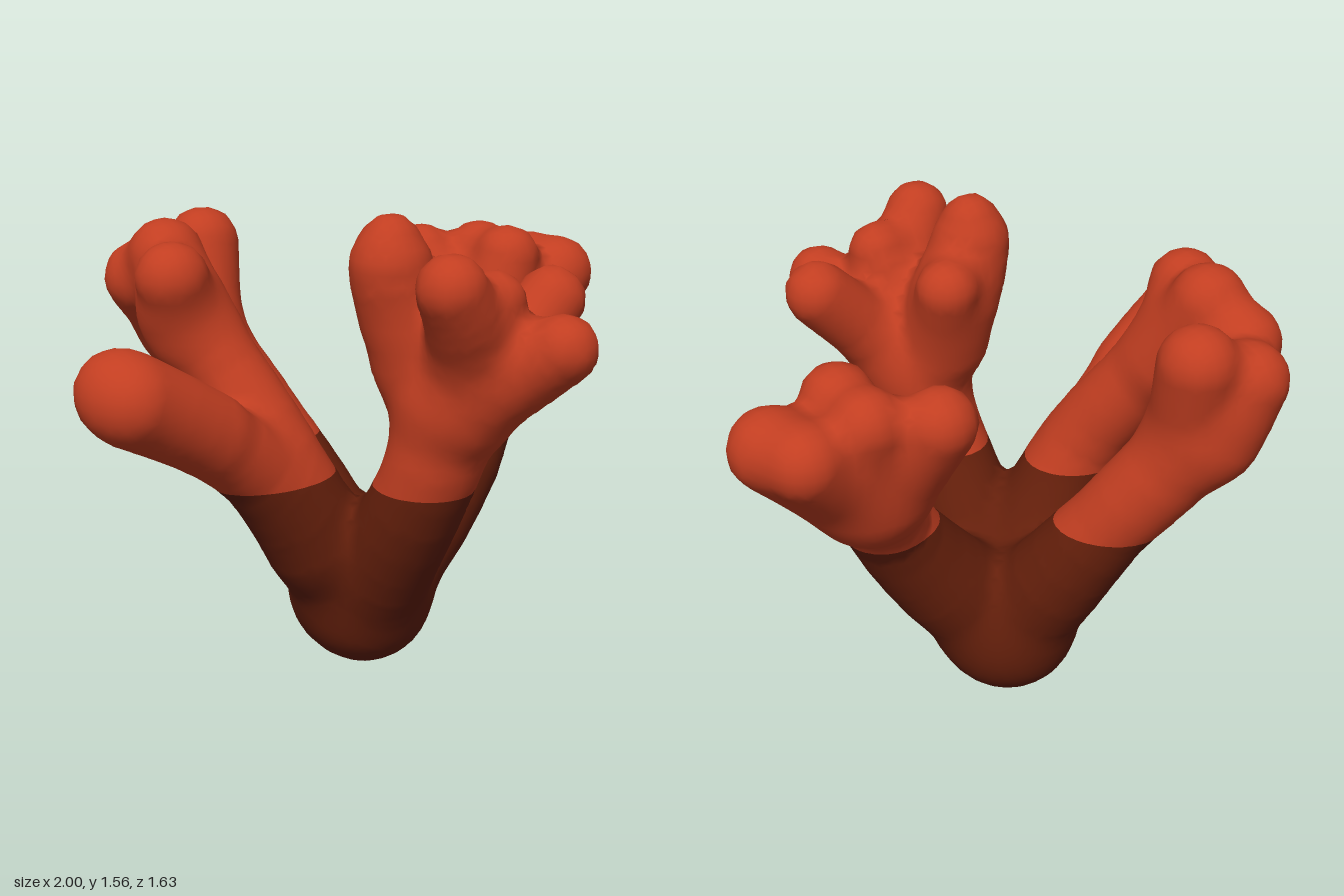
import * as THREE from 'three';

const CUT = 0.73;    // height where the dark base meets the bright branches
const CELL = 0.034;  // surface resolution
const BLEND = 0.06;  // softness of the joints

// Every branch is a set of limbs; every limb is a chain of [x, y, z, radius].
const BRANCHES = {
  trunk: [[[0.02, 0.235, -0.06, 0.225], [0.02, 0.235, -0.1, 0.225]]],
  frontBranch: [
    [[-0.01, 0.24, 0, 0.18], [-0.02, 0.48, 0.18, 0.16], [0, 0.73, 0.33, 0.147], [0.05, 0.98, 0.4, 0.155]],
    [[0.04, 0.96, 0.36, 0.14], [-0.04, 1.25, 0.29, 0.145], [-0.1, 1.42, 0.29, 0.125], [-0.1, 1.48, 0.29, 0.095]],
    [[0, 1.1, 0.28, 0.12], [0.06, 1.33, 0.18, 0.1]],
    [[0.05, 1.0, 0.42, 0.15], [0.07, 1.2, 0.52, 0.125], [0.09, 1.34, 0.55, 0.095]],
    [[0.06, 1.12, 0.48, 0.12], [-0.03, 1.3, 0.57, 0.115], [-0.1, 1.41, 0.61, 0.105]],
    [[0.07, 1.02, 0.46, 0.14], [0.16, 1.14, 0.61, 0.12], [0.215, 1.22, 0.715, 0.105]],
    [[0.1, 1.03, 0.43, 0.13], [0.24, 1.17, 0.45, 0.11], [0.365, 1.295, 0.455, 0.105]],
  ],
  rightSideBranch: [
    [[-0.02, 0.25, -0.06, 0.18], [-0.2, 0.5, 0, 0.165], [-0.42, 0.775, 0.03, 0.13],
      [-0.65, 0.95, 0.07, 0.12], [-0.87, 1.09, 0.05, 0.13]],
    [[-0.6, 0.94, 0.07, 0.11], [-0.85, 1.07, 0.115, 0.13]],
  ],
  rightBackBranch: [
    [[-0.18, 0.48, 0, 0.15], [-0.31, 0.78, -0.04, 0.135], [-0.41, 1.03, -0.18, 0.125], [-0.51, 1.22, -0.28, 0.13]],
    [[-0.5, 1.17, -0.27, 0.12], [-0.57, 1.34, -0.21, 0.115]],
    [[-0.46, 1.14, -0.28, 0.13], [-0.5, 1.37, -0.4, 0.12]],
  ],
  leftBranch: [
    [[0.05, 0.25, -0.08, 0.18], [0.24, 0.46, -0.05, 0.165], [0.44, 0.735, -0.065, 0.135], [0.56, 1.0, -0.2, 0.15]],
    [[0.53, 0.98, -0.22, 0.14], [0.47, 1.26, -0.42, 0.11]],
    [[0.58, 1.0, -0.22, 0.15], [0.65, 1.27, -0.33, 0.11]],
    [[0.57, 0.98, -0.18, 0.14], [0.65, 1.28, -0.17, 0.11]],
    [[0.6, 0.98, -0.2, 0.14], [0.84, 1.21, -0.32, 0.115]],
    [[0.58, 0.95, -0.17, 0.14], [0.875, 1.2, -0.19, 0.125]],
  ],
  backBranch: [
    [[0.01, 0.25, -0.12, 0.18], [-0.04, 0.48, -0.28, 0.16], [-0.13, 0.74, -0.435, 0.132],
      [-0.27, 1.0, -0.58, 0.14], [-0.36, 1.15, -0.63, 0.14]],
    [[-0.29, 1.05, -0.59, 0.13], [-0.245, 1.34, -0.66, 0.12]],
    [[-0.34, 1.08, -0.64, 0.14], [-0.41, 1.26, -0.7, 0.12]],
    [[-0.34, 1.08, -0.6, 0.14], [-0.53, 1.28, -0.53, 0.12]],
  ],
};

// Round each chain into a curve of short tapered segments
const limbs = Object.entries(BRANCHES).flatMap(([branch, chains]) => chains.map((chain) => {
  const last = chain.length - 1;
  const curve = new THREE.CatmullRomCurve3(chain.map((c) => new THREE.Vector3(...c)));
  const steps = last > 1 ? last * 3 : 1;
  const points = Array.from({ length: steps + 1 }, (_, i) => {
    const f = i / steps * last, k = Math.min(Math.floor(f), last - 1);
    return { c: curve.getPoint(i / steps), r: THREE.MathUtils.lerp(chain[k][3], chain[k + 1][3], f - k) };
  });
  const segments = points.slice(1).map((q, i) => {
    const p = points[i], d = q.c.clone().sub(p.c);
    return { p: p.c, d, r: p.r, dr: q.r - p.r, len2: d.lengthSq() };
  });
  return { branch, segments };
}));

function limbDistance(limb, x, y, z) {
  let best = 10;
  for (const { p, d, r, dr, len2 } of limb.segments) {
    const u = x - p.x, v = y - p.y, w = z - p.z;
    const t = Math.min(1, Math.max(0, (u * d.x + v * d.y + w * d.z) / len2));
    const a = u - t * d.x, b = v - t * d.y, c = w - t * d.z;
    best = Math.min(best, Math.sqrt(a * a + b * b + c * c) - r - t * dr);
  }
  return best;
}

// Softly blended distance to the whole coral
function distance(x, y, z) {
  let r = 10;
  for (const limb of limbs) {
    const d = limbDistance(limb, x, y, z);
    const h = Math.max(0, BLEND - Math.abs(r - d)) / BLEND;
    r = Math.min(r, d) - h * h * BLEND / 4;
  }
  return r;
}

function normalAt(p) {
  const e = 0.012;
  return new THREE.Vector3(
    distance(p.x + e, p.y, p.z) - distance(p.x - e, p.y, p.z),
    distance(p.x, p.y + e, p.z) - distance(p.x, p.y - e, p.z),
    distance(p.x, p.y, p.z + e) - distance(p.x, p.y, p.z - e)).normalize();
}

function nearestBranch(p) {
  let best = 10, name = '';
  for (const limb of limbs) {
    const d = limbDistance(limb, p.x, p.y, p.z);
    if (limb.branch !== 'trunk' && d < best) { best = d; name = limb.branch; }
  }
  return name;
}

// Skin the blended limbs with quads, one vertex per surface cell
function skinTriangles() {
  const lo = [-1.12, -0.1, -0.95], size = [2.24, 1.8, 1.9];
  const n = size.map((s) => Math.ceil(s / CELL) + 1);
  const stride = [1, n[0], n[0] * n[1]];
  const field = new Float32Array(n[0] * n[1] * n[2]).fill(1);
  const each = (from, fn) => {
    for (let z = from; z < n[2] - 1; z++)
      for (let y = from; y < n[1] - 1; y++)
        for (let x = from; x < n[0] - 1; x++) fn(x + y * stride[1] + z * stride[2]);
  };
  const place = (id) => new THREE.Vector3(
    lo[0] + (id % n[0]) * CELL,
    lo[1] + (Math.floor(id / n[0]) % n[1]) * CELL,
    lo[2] + Math.floor(id / stride[2]) * CELL);
  each(0, (id) => { const p = place(id); field[id] = distance(p.x, p.y, p.z); });

  // A cell's vertex is the mean of the points where its edges cross the surface
  const cache = new Map();
  const vertex = (id) => {
    if (!cache.has(id)) {
      const p = new THREE.Vector3();
      let count = 0;
      for (let corner = 0; corner < 8; corner++) {
        const from = id + stride.reduce((sum, s, k) => sum + (corner >> k & 1) * s, 0);
        for (let k = 0; k < 3; k++) {
          const to = from + stride[k];
          if (corner >> k & 1 || field[from] < 0 === field[to] < 0) continue;
          p.add(place(from).lerp(place(to), field[from] / (field[from] - field[to])));
          count++;
        }
      }
      p.divideScalar(count);
      p.y = Math.max(0, p.y);
      cache.set(id, { p, n: normalAt(p) });
    }
    return cache.get(id);
  };

  const triangles = [];
  each(1, (id) => {
    for (let a = 0; a < 3; a++) {
      const inside = field[id] < 0;
      if (inside === field[id + stride[a]] < 0) continue;
      const b = stride[(a + 1) % 3], c = stride[(a + 2) % 3];
      const quad = [id - b - c, id - c, id, id - b].map(vertex);
      if (!inside) quad.reverse();
      triangles.push([quad[0], quad[1], quad[2]], [quad[0], quad[2], quad[3]]);
    }
  });
  return triangles;
}

// Keep the part of a triangle above (side 1) or below (side -1) the colour line
function clip(tri, side) {
  const out = [];
  tri.forEach((v, i) => {
    const w = tri[(i + 1) % 3];
    const dv = side * (v.p.y - CUT), dw = side * (w.p.y - CUT);
    if (dv >= 0) out.push(v);
    if (dv * dw < 0) {
      const t = dv / (dv - dw);
      out.push({ p: v.p.clone().lerp(w.p, t), n: v.n.clone().lerp(w.n, t).normalize() });
    }
  });
  return out;
}

export function createModel() {
  const group = new THREE.Group();
  group.name = 'coral';
  const bright = new THREE.MeshStandardMaterial({ name: 'coralRed', color: 0xc23e21 });
  const dark = new THREE.MeshStandardMaterial({ name: 'darkBrown', color: 0x641f0b });

  // Sort the clipped faces into the base and the branches
  const parts = {};
  for (const tri of skinTriangles()) {
    for (const side of [-1, 1]) {
      const poly = clip(tri, side);
      if (poly.length < 3) continue;
      const name = side < 0 ? 'base' : nearestBranch(tri[0].p);
      const part = (parts[name] ??= { position: [], normal: [] });
      for (let k = 2; k < poly.length; k++) {
        for (const v of [poly[0], poly[k - 1], poly[k]]) {
          part.position.push(...v.p.toArray());
          part.normal.push(...v.n.toArray());
        }
      }
    }
  }

  for (const [name, part] of Object.entries(parts)) {
    const geometry = new THREE.BufferGeometry();
    geometry.setAttribute('position', new THREE.Float32BufferAttribute(part.position, 3));
    geometry.setAttribute('normal', new THREE.Float32BufferAttribute(part.normal, 3));
    const mesh = new THREE.Mesh(geometry, name === 'base' ? dark : bright);
    mesh.name = name;
    group.add(mesh);
  }
  return group;
}
